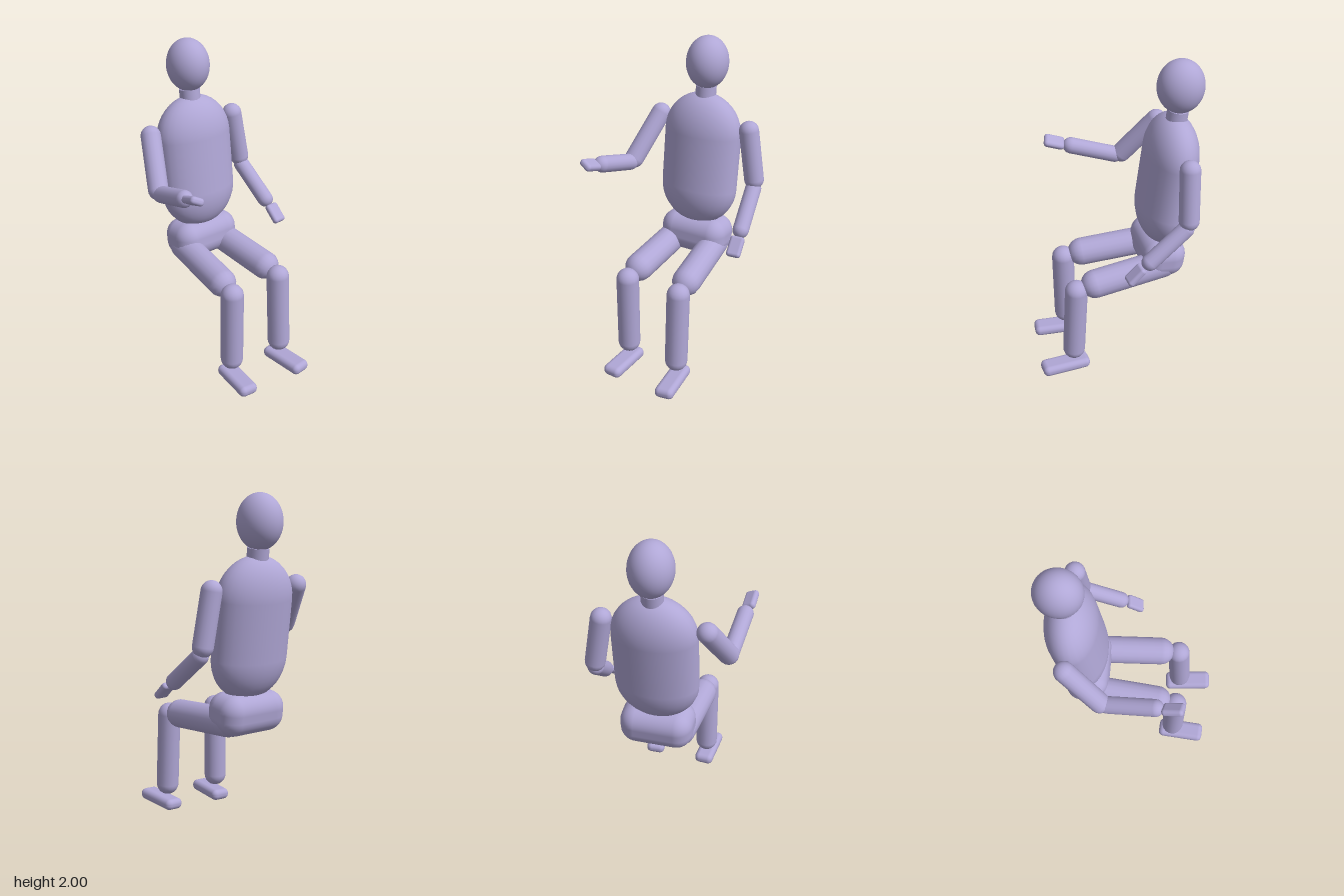
import * as THREE from 'three';
import { RoundedBoxGeometry } from 'three/addons/geometries/RoundedBoxGeometry.js';

export function createModel() {
  const model = new THREE.Group();
  model.name = 'seatedFigure';
  const lavender = new THREE.MeshStandardMaterial({ color: 0xb0a7d6 });
  lavender.name = 'lavender';

  const add = (name, geometry, x, y, z) => {
    const mesh = new THREE.Mesh(geometry, lavender);
    mesh.name = name;
    mesh.position.set(x, y, z);
    model.add(mesh);
    return mesh;
  };

  // Round-ended limb between two joint centres
  const limb = (name, from, to, radius) => {
    const a = new THREE.Vector3(...from), b = new THREE.Vector3(...to);
    const axis = b.clone().sub(a);
    const middle = a.clone().add(b).multiplyScalar(0.5);
    const mesh = add(name, new THREE.CapsuleGeometry(radius, axis.length(), 6, 18), ...middle);
    mesh.quaternion.setFromUnitVectors(new THREE.Vector3(0, 1, 0), axis.normalize());
  };

  // Rounded block (width, thickness, length) whose length points along a direction
  const block = (name, size, radius, centre, direction, roll = 0) => {
    const mesh = add(name, new RoundedBoxGeometry(...size, 3, radius), ...centre);
    mesh.lookAt(mesh.position.clone().add(new THREE.Vector3(...direction)));
    mesh.rotateZ(roll);
  };

  // Head and neck
  add('head', new THREE.SphereGeometry(1, 32, 24), 0.013, 1.84, -0.394).scale.set(0.127, 0.16, 0.139);
  add('neck', new THREE.CylinderGeometry(0.063, 0.063, 0.1, 24), 0.013, 1.645, -0.378).rotation.x = -0.12;

  // Torso leaning back, flattened front to back
  const torso = add('torso', new THREE.CapsuleGeometry(0.25, 0.345, 10, 28), 0.013, 1.235, -0.328);
  torso.scale.z = 0.62;
  torso.rotation.x = -0.12;

  // Pelvis
  add('pelvis', new RoundedBoxGeometry(0.442, 0.245, 0.27, 5, 0.1), 0.016, 0.74, -0.285).rotation.x = -0.12;

  // Legs
  limb('rightThigh', [-0.122, 0.69, -0.28], [-0.153, 0.655, 0.165], 0.088);
  limb('leftThigh', [0.146, 0.69, -0.28], [0.18, 0.655, 0.165], 0.088);
  limb('rightShin', [-0.164, 0.63, 0.285], [-0.165, 0.165, 0.285], 0.07);
  limb('leftShin', [0.188, 0.63, 0.285], [0.19, 0.165, 0.312], 0.07);
  block('rightFoot', [0.122, 0.07, 0.3], 0.032, [-0.17, 0.04, 0.348], [-0.08, 0, 1]);
  block('leftFoot', [0.122, 0.07, 0.31], 0.032, [0.2, 0.045, 0.375], [0.08, 0.03, 1], 0.06);

  // Right arm reaching forward
  limb('rightUpperArm', [-0.288, 1.47, -0.358], [-0.372, 1.215, -0.163], 0.061);
  limb('rightForearm', [-0.378, 1.205, -0.12], [-0.403, 1.3, 0.155], 0.051);
  block('rightHand', [0.085, 0.045, 0.13], 0.02, [-0.415, 1.335, 0.257], [-0.06, 0.35, 0.94], -0.5);

  // Left arm lowered
  limb('leftUpperArm', [0.316, 1.47, -0.36], [0.368, 1.165, -0.35], 0.061);
  limb('leftForearm', [0.374, 1.11, -0.33], [0.4, 0.935, -0.11], 0.05);
  block('leftHand', [0.088, 0.042, 0.13], 0.018, [0.41, 0.868, -0.02], [0.06, -0.68, 0.72]);

  return model;
}
